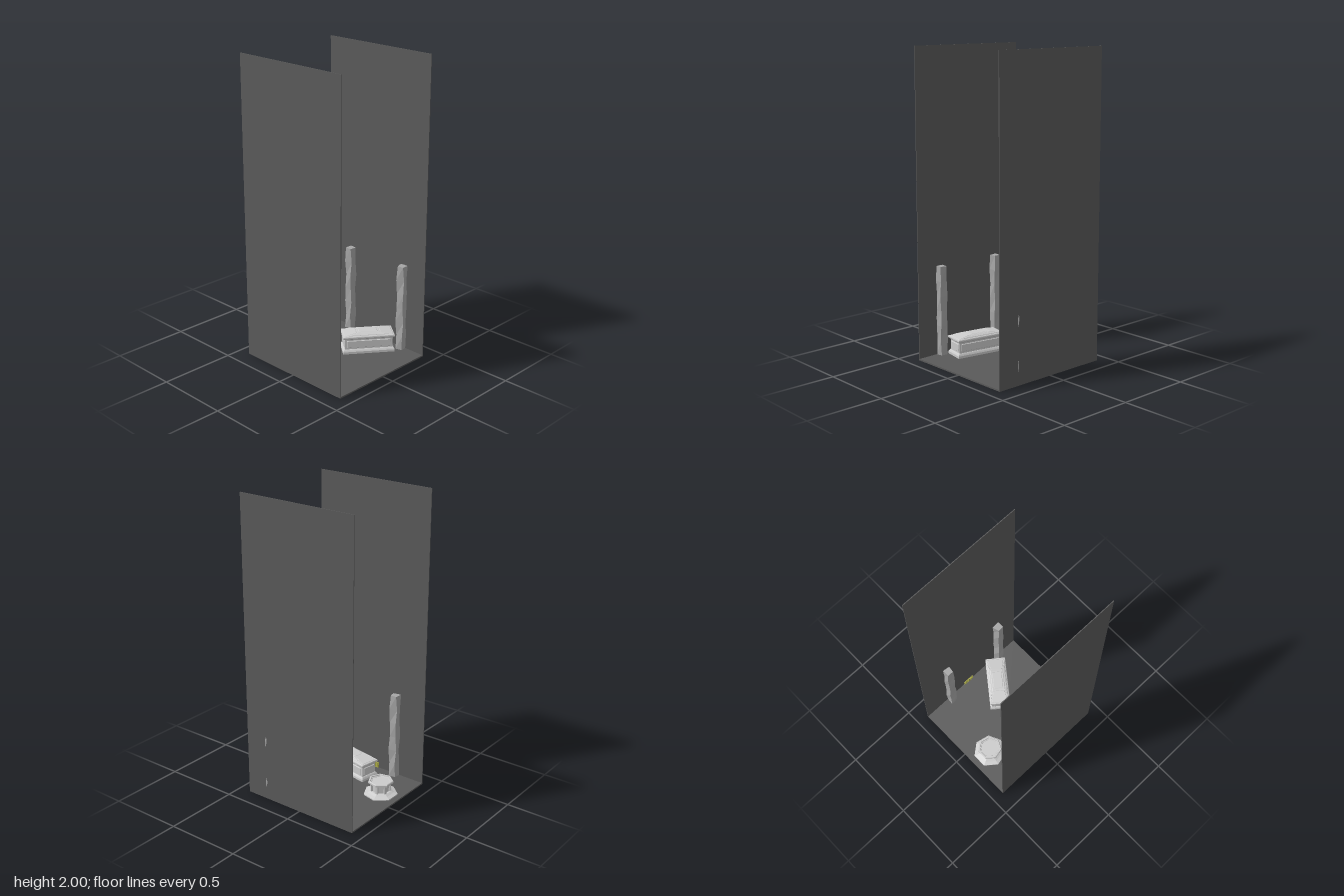
import * as THREE from 'three';

const grey = new THREE.MeshStandardMaterial({ color: 0xcccccc, flatShading: true, side: THREE.DoubleSide });
const dark = new THREE.MeshStandardMaterial({ color: 0x5a5a5a });
const stone = new THREE.MeshStandardMaterial({ color: 0xa6a6a6, flatShading: true });
const yellow = new THREE.MeshStandardMaterial({ color: 0xb0b04a });

function add(parent, name, geometry, material, x = 0, y = 0, z = 0) {
  const mesh = new THREE.Mesh(geometry, material);
  mesh.name = name;
  mesh.position.set(x, y, z);
  parent.add(mesh);
  return mesh;
}

function box(parent, name, w, h, d, x, y, z, material) {
  return add(parent, name, new THREE.BoxGeometry(w, h, d), material, x, y, z);
}

// Flat-faced geometry from a list of four-cornered faces
function quads(list) {
  const points = list.flatMap(([a, b, c, d]) => [a, b, c, a, c, d]);
  const geometry = new THREE.BufferGeometry().setFromPoints(points);
  geometry.computeVertexNormals();
  return geometry;
}

// Rectangle in plan: length along x, width along z
function ring([length, width, y]) {
  return [[1, 1], [1, -1], [-1, -1], [-1, 1]].map(([sx, sz]) =>
    new THREE.Vector3(sx * length / 2, y, sz * width / 2));
}

function side(lower, upper, i) {
  const j = (i + 1) % 4;
  return [lower[i], lower[j], upper[j], upper[i]];
}

// Stack of rectangles joined by sides and closed at both ends
function loft(sections) {
  const rings = sections.map(ring);
  const faces = [[...rings[0]].reverse(), rings[rings.length - 1]];
  for (let k = 0; k + 1 < rings.length; k++) {
    for (let i = 0; i < 4; i++) faces.push(side(rings[k], rings[k + 1], i));
  }
  return quads(faces);
}

// Raised bevelled panel set in from the edges of a face
function panel(face, margin, height) {
  const [a, b, c, d] = face;
  const normal = b.clone().sub(a).cross(d.clone().sub(a)).normalize();
  const lowEdge = a.distanceTo(b);
  const rise = a.clone().add(b).distanceTo(c.clone().add(d)) / 2;
  const at = (m, h) => {
    const u = Math.min(m / lowEdge, 0.4), v = Math.min(m / rise, 0.4);
    return [[u, v], [1 - u, v], [1 - u, 1 - v], [u, 1 - v]].map(([s, t]) =>
      a.clone().lerp(b, s).lerp(d.clone().lerp(c, s), t).addScaledVector(normal, h));
  };
  const low = at(margin, 0), high = at(margin + 0.003, height);
  return quads([high, ...[0, 1, 2, 3].map(i => side(low, high, i))]);
}

// Stone chest with stepped plinth, framed sides and hipped lid
function chest(name, x, z, angle) {
  const group = new THREE.Group();
  group.name = name;
  group.position.set(x, 0, z);
  group.rotation.y = angle;
  add(group, 'plinth', loft([
    [0.342, 0.14, 0.01], [0.342, 0.14, 0.025], [0.332, 0.13, 0.034], [0.322, 0.12, 0.04]]), grey);
  const bodyLow = [0.316, 0.115, 0.038], bodyHigh = [0.316, 0.115, 0.112];
  add(group, 'body', loft([bodyLow, bodyHigh]), grey);
  const eave = [0.338, 0.137, 0.131], ridge = [0.14, 0.082, 0.146];
  add(group, 'lid', loft([
    [0.318, 0.117, 0.108], [0.328, 0.127, 0.114], [0.342, 0.141, 0.119], [0.342, 0.141, 0.127], eave, ridge]), grey);
  for (let i = 0; i < 4; i++) {
    add(group, 'sidePanel', panel(side(ring(bodyLow), ring(bodyHigh), i), 0.012, 0.004), grey);
    add(group, 'lidPanel', panel(side(ring(eave), ring(ridge), i), 0.008, 0.002), grey);
  }
  add(group, 'lidCentrePanel', panel(ring(ridge), 0.008, 0.002), grey);
  return group;
}

// Seven-sided basin on a stepped foot
function basin() {
  const group = new THREE.Group();
  group.name = 'basin';
  group.position.set(-0.279, 0, 0.107);
  const lathe = (name, profile) => add(group, name, new THREE.LatheGeometry(
    profile.map(([r, y]) => new THREE.Vector2(r, y)), 7, Math.PI / 2), grey);
  lathe('foot', [[0, 0.01], [0.113, 0.01], [0.113, 0.017], [0.088, 0.025], [0.07, 0.034], [0, 0.034]]);
  lathe('pedestal', [[0.058, 0.03], [0.058, 0.088]]);
  lathe('bowl', [[0.058, 0.08], [0.066, 0.087], [0.084, 0.093], [0.084, 0.104],
    [0.08, 0.108], [0.071, 0.108], [0.069, 0.101], [0.063, 0.101], [0.061, 0.098], [0, 0.098]]);
  for (let i = 0; i < 7; i++) {
    const a = i * Math.PI * 2 / 7;
    const post = box(group, 'cornerPost', 0.014, 0.056, 0.014, Math.cos(a) * 0.06, 0.06, Math.sin(a) * 0.06, grey);
    post.rotation.y = -a;
  }
  return group;
}

// Rough-hewn pillar: a divided box with its corners nudged
function pillar(x, z, angle, seed) {
  const geometry = new THREE.BoxGeometry(0.05, 0.59, 0.046, 1, 6, 1);
  const p = geometry.attributes.position;
  const nudge = (a, b, c, k) => 0.004 * Math.sin(a * 70 + b * 23 + c * 90 + seed * 2.3 + k);
  for (let i = 0; i < p.count; i++) {
    const a = p.getX(i), b = p.getY(i), c = p.getZ(i);
    p.setXYZ(i, a + nudge(a, b, c, 0), b, c + nudge(a, b, c, 2));
  }
  const group = new THREE.Group();
  group.name = 'pillar';
  add(group, 'pillarShaft', geometry, stone, x, 0.305, z).rotation.y = angle;
  return group;
}

// Low barred grating at the foot of a wall
function grating(z) {
  const group = new THREE.Group();
  group.name = 'grating';
  group.position.set(-0.03, 0.01, z);
  for (const y of [0.003, 0.037]) box(group, 'gratingRail', 0.08, 0.005, 0.005, 0, y, 0, yellow);
  for (let i = 0; i < 7; i++) {
    box(group, 'gratingBar', 0.005, 0.038, 0.008, -0.036 + i * 0.012, 0.02, 0, yellow);
  }
  return group;
}

export function createModel() {
  const model = new THREE.Group();
  model.name = 'chamber';
  box(model, 'floor', 0.84, 0.01, 0.772, 0, 0.005, 0, dark);
  for (const s of [1, -1]) {
    box(model, s > 0 ? 'frontWall' : 'backWall', 0.84, 2, 0.005, 0, 1, s * 0.3835, dark);
    model.add(grating(s * 0.377));
    model.add(pillar(-0.208, s * 0.356, 0.03 * s, 1 + s));
    model.add(pillar(0.25, s * 0.358, s > 0 ? -0.04 : 0.16, 4 + s));
  }
  model.add(chest('backChest', 0.0935, -0.203, 0.917));
  model.add(chest('frontChest', 0.054, 0.247, -0.185));
  model.add(basin());
  return model;
}
